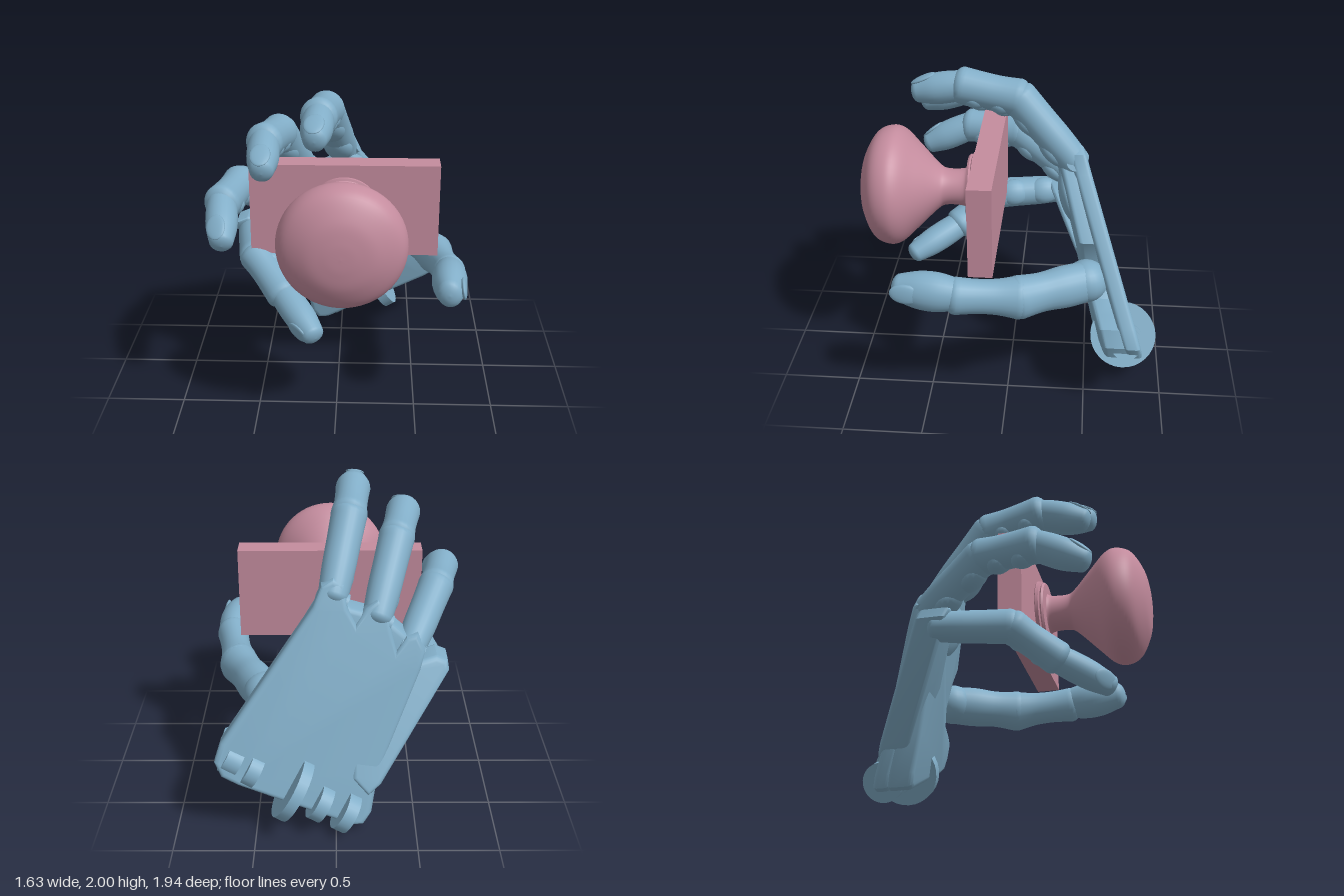
import * as THREE from 'three';
import { toCreasedNormals } from 'three/addons/utils/BufferGeometryUtils.js';

const blue = new THREE.MeshStandardMaterial({ color: 0x82aec8 });
const pink = new THREE.MeshStandardMaterial({ color: 0xc48c9e });
const V = (p) => new THREE.Vector3(...p);

function add(parent, name, geo, mat, pos = [0, 0, 0]) {
  const mesh = new THREE.Mesh(geo, mat);
  mesh.name = name;
  mesh.position.set(...pos);
  parent.add(mesh);
  return mesh;
}

// Slab cut from a front outline, then sheared onto the plane z = c + a*y + b*x
function slantedSlab(outline, depth, bevel, [c, a, b]) {
  const shape = new THREE.Shape(outline.map((p) => new THREE.Vector2(...p)));
  const geo = new THREE.ExtrudeGeometry(shape, {
    depth: depth - 2 * bevel, bevelThickness: bevel, bevelSize: bevel,
    bevelOffset: -bevel, bevelSegments: 4, curveSegments: 8,
  });
  const pos = geo.attributes.position;
  for (let i = 0; i < pos.count; i++) {
    pos.setZ(i, pos.getZ(i) + bevel + c + a * pos.getY(i) + b * pos.getX(i));
  }
  geo.computeVertexNormals();
  return toCreasedNormals(geo, 0.6);
}

// Lathed bone with rounded ends; radii are spread evenly from base to end
function boneGeometry(length, radii, depthScale) {
  const pts = [];
  const r0 = radii[0], r1 = radii[radii.length - 1], n = 5;
  for (let i = 0; i < n; i++) {
    const t = (i / n) * Math.PI / 2;
    pts.push(new THREE.Vector2(r0 * Math.sin(t), -0.6 * r0 * Math.cos(t)));
  }
  const curve = new THREE.SplineCurve(radii.map((r, i) => new THREE.Vector2(r, length * i / (radii.length - 1))));
  pts.push(...curve.getPoints(12));
  for (let i = 1; i <= n; i++) {
    const t = (i / n) * Math.PI / 2;
    pts.push(new THREE.Vector2(Math.max(r1 * Math.cos(t), 0), length + 0.6 * r1 * Math.sin(t)));
  }
  return new THREE.LatheGeometry(pts, 24).scale(1, 1, depthScale);
}

// Group whose y runs from a to b and whose z points to the back of the finger
function boneFrame(a, b, dorsal) {
  const y = V(b).sub(V(a)).normalize();
  const x = new THREE.Vector3().crossVectors(y, V(dorsal)).normalize();
  const z = new THREE.Vector3().crossVectors(x, y);
  const frame = new THREE.Group();
  frame.quaternion.setFromRotationMatrix(new THREE.Matrix4().makeBasis(x, y, z));
  frame.position.set(...a);
  return frame;
}

function finger(name, joints, dorsal, r) {
  const group = new THREE.Group();
  group.name = name;
  const profiles = [
    [0.82, 0.92, 0.95, 1.0],
    [1.02, 0.94, 0.95, 1.0],
    [0.8, 0.86, 0.83, 0.64],
  ];
  const labels = ['proximalBone', 'middleBone', 'distalBone'];
  for (let i = 0; i < 3; i++) {
    const length = V(joints[i]).distanceTo(V(joints[i + 1]));
    const frame = boneFrame(joints[i], joints[i + 1], dorsal);
    frame.name = labels[i];
    group.add(frame);
    add(frame, 'bone', boneGeometry(length, profiles[i].map((k) => k * r), 1.04), blue);
    if (i < 2) {
      // Soft pads on the gripping side
      for (const t of [0.28, 0.74]) {
        add(frame, 'pad', new THREE.SphereGeometry(1, 20, 14).scale(r * 0.85, length * 0.24, r * 0.62),
          blue, [0, length * t, -r * 0.5]);
      }
    } else {
      // Nail
      const nail = add(frame, 'nail', new THREE.SphereGeometry(1, 16, 12).scale(r * 0.55, r * 0.75, r * 0.14),
        blue, [0, length * 0.84, r * 0.68]);
      nail.rotation.x = -0.25;
    }
  }
  return group;
}

function buildKnob() {
  const knob = new THREE.Group();
  knob.name = 'doorKnob';
  add(knob, 'backPlate', new THREE.BoxGeometry(1.19, 0.6, 0.15), pink, [0.04, 1.24, 0.155]);
  const rose = [[0, 0.22], [0.21, 0.22], [0.225, 0.235], [0.225, 0.255], [0.205, 0.262],
    [0.215, 0.272], [0.205, 0.285], [0.15, 0.29], [0, 0.29]];
  const stem = new THREE.SplineCurve([[0.15, 0.28], [0.122, 0.31], [0.118, 0.42], [0.15, 0.48], [0.27, 0.6],
    [0.365, 0.7], [0.386, 0.78], [0.345, 0.87], [0.22, 0.94], [0.1, 0.965], [0, 0.97]]
    .map((p) => new THREE.Vector2(...p))).getPoints(60);
  stem.forEach((p) => { p.x = Math.max(p.x, 0); });
  const lathe = (pts) => new THREE.LatheGeometry(pts, 56).rotateX(Math.PI / 2);
  add(knob, 'rose', toCreasedNormals(lathe(rose.map((p) => new THREE.Vector2(...p))), 0.5), pink, [0.04, 1.24, 0]);
  add(knob, 'grip', lathe(stem), pink, [0.04, 1.24, 0]);
  return knob;
}

function buildPalm() {
  const palm = new THREE.Group();
  palm.name = 'palm';
  // Back plate with slots between the knuckles
  add(palm, 'palmBack', slantedSlab([
    [-0.22, 0.12], [-0.17, 0.05], [-0.1, 0.05], [0.6, 0.37], [0.7, 0.43], [0.74, 0.52], [0.7, 0.64],
    [0.14, 1.4], [0.09, 1.52], [0.02, 1.56], [-0.05, 1.52], [-0.07, 1.38], [-0.12, 1.28],
    [-0.18, 1.37], [-0.25, 1.42], [-0.32, 1.37], [-0.34, 1.22], [-0.37, 1.1],
    [-0.43, 1.18], [-0.5, 1.2], [-0.55, 1.1], [-0.52, 0.98], [-0.26, 0.36],
  ], 0.11, 0.03, [-0.86, 0.27, -0.168]), blue);
  // Inner plate, cut away around the thumb
  add(palm, 'palmFront', slantedSlab([
    [-0.22, 0.12], [-0.17, 0.05], [-0.1, 0.05], [0.6, 0.37], [0.7, 0.43], [0.73, 0.52], [0.69, 0.63],
    [0.56, 0.65], [0.4, 0.66], [0.3, 0.74], [0.3, 0.9], [0.36, 1.04], [0.14, 1.38], [0.02, 1.47],
    [-0.09, 1.37], [-0.3, 1.3], [-0.5, 1.12], [-0.5, 0.98], [-0.26, 0.36],
  ], 0.17, 0.03, [-0.766, 0.215, -0.168]), blue);
  // Splayed plate carrying the little finger
  add(palm, 'littleFingerPlate', slantedSlab([
    [-0.2, 0.24], [-0.28, 0.3], [-0.71, 0.92], [-0.7, 0.98], [-0.63, 1.01],
    [-0.42, 0.97], [-0.1, 0.72], [-0.1, 0.35],
  ], 0.2, 0.03, [-0.93, 0.42, -0.2]), blue);
  // Fleshy finger row pad
  const pad = add(palm, 'knucklePad', new THREE.SphereGeometry(1, 28, 18).scale(0.3, 0.2, 0.08), blue, [-0.18, 1.1, -0.38]);
  pad.rotation.set(0.25, 0, 0.5);
  // Knuckle pins, then wrist discs on a common axle: x, y, z, radius, width
  const pins = [
    ['knucklePin', 0.02, 1.43, -0.4, 0.06, 0.18], ['knucklePin', -0.25, 1.29, -0.4, 0.06, 0.18],
    ['knucklePin', -0.46, 1.09, -0.4, 0.06, 0.16],
    ['wristDisc', -0.06, 0.13, -0.78, 0.13, 0.08], ['wristDisc', 0.1, 0.2, -0.78, 0.12, 0.08],
    ['wristDisc', 0.27, 0.29, -0.75, 0.215, 0.07], ['wristDisc', 0.52, 0.43, -0.76, 0.11, 0.08],
    ['wristDisc', 0.64, 0.5, -0.75, 0.1, 0.1], ['wristAxle', 0.28, 0.33, -0.72, 0.06, 0.78],
  ];
  for (const [name, x, y, z, r, w] of pins) {
    const pin = add(palm, name, new THREE.CylinderGeometry(r, r, w, 32), blue, [x, y, z]);
    pin.rotation.z = -Math.PI / 3;
  }
  return palm;
}

function buildThumb() {
  const thumb = new THREE.Group();
  thumb.name = 'thumb';
  const parts = [
    ['thumbBase', [0.45, 0.82, -0.49], [0.64, 0.81, -0.08], [0.13, 0.135, 0.125, 0.14]],
    ['thumbMiddle', [0.64, 0.81, -0.08], [0.71, 0.85, 0.3], [0.14, 0.115, 0.11, 0.12]],
    ['thumbTip', [0.71, 0.86, 0.3], [0.69, 0.88, 0.64], [0.105, 0.125, 0.12, 0.09]],
  ];
  for (const [name, a, b, radii] of parts) {
    const frame = boneFrame(a, b, [1, 0.15, 0]);
    const length = V(a).distanceTo(V(b));
    frame.name = name;
    thumb.add(frame);
    add(frame, 'bone', boneGeometry(length, radii, 0.88), blue);
    if (name === 'thumbTip') {
      add(frame, 'nail', new THREE.SphereGeometry(1, 16, 12).scale(0.065, 0.1, 0.02), blue, [0, 0.29, 0.085]);
    }
  }
  // Ball joint seated in the palm
  add(thumb, 'thumbBall', new THREE.SphereGeometry(0.135, 24, 16), blue, [0.44, 0.82, -0.49]);
  return thumb;
}

export function createModel() {
  const model = new THREE.Group();
  model.name = 'handAndKnob';
  const up = [-0.1, 1, 0.25];
  model.add(
    buildKnob(),
    buildPalm(),
    buildThumb(),
    finger('indexFinger', [[0.02, 1.43, -0.4], [-0.08, 1.82, -0.03], [-0.11, 1.88, 0.33], [-0.12, 1.83, 0.61]], up, 0.113),
    finger('middleFinger', [[-0.25, 1.29, -0.4], [-0.38, 1.67, -0.02], [-0.44, 1.72, 0.33], [-0.43, 1.64, 0.61]], up, 0.113),
    finger('ringFinger', [[-0.46, 1.09, -0.4], [-0.64, 1.33, 0], [-0.71, 1.33, 0.35], [-0.68, 1.2, 0.64]], [-0.4, 1, 0.25], 0.113),
    finger('littleFinger', [[-0.61, 0.9, -0.3], [-0.53, 0.89, 0.16], [-0.34, 0.74, 0.4], [-0.14, 0.61, 0.69]], [-0.5, -0.3, 0.7], 0.108),
  );
  return model;
}
